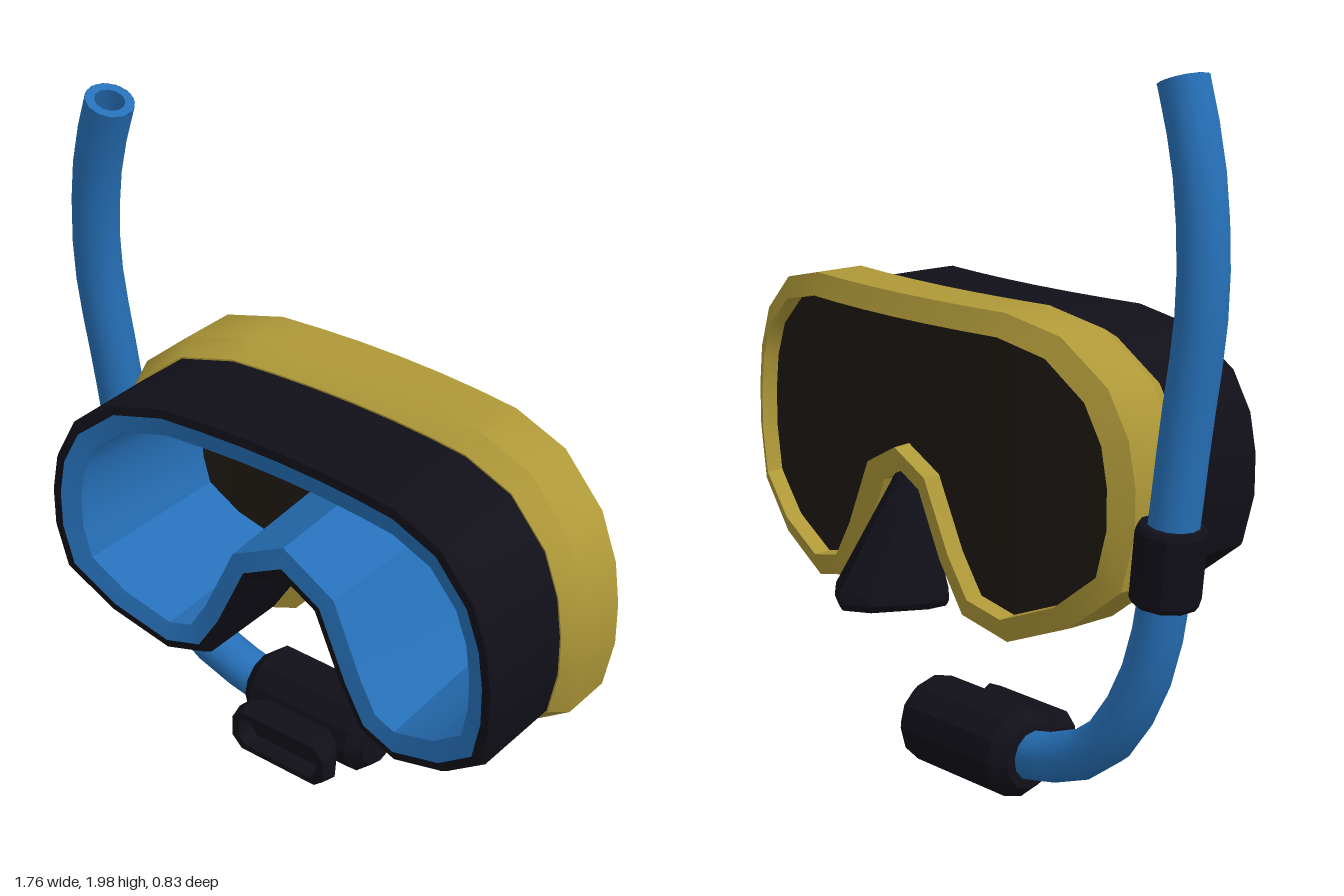
import * as THREE from 'three';
import { toCreasedNormals } from 'three/addons/utils/BufferGeometryUtils.js';

const mat = (color) => new THREE.MeshStandardMaterial({ color, side: THREE.DoubleSide });
const blue = mat(0x2670b8), black = mat(0x110f18), yellow = mat(0xae9838), tint = mat(0x1d1813);
const V = (x, y, z) => new THREE.Vector3(x, y, z);

function add(parent, name, geometry, material, crease = 0.5) {
  const mesh = new THREE.Mesh(toCreasedNormals(geometry, crease), material);
  mesh.name = name;
  parent.add(mesh);
  return mesh;
}

// Skin a series of equal-length closed rings, optionally capping the two ends
function loft(rings, caps = false) {
  const pos = [], tri = (...p) => p.forEach((v) => pos.push(v.x, v.y, v.z));
  const n = rings[0].length;
  for (let i = 0; i < rings.length - 1; i++) {
    for (let j = 0; j < n; j++) {
      const k = (j + 1) % n, a = rings[i], b = rings[i + 1];
      tri(a[j], a[k], b[k]);
      tri(a[j], b[k], b[j]);
    }
  }
  if (caps) {
    [rings[0], rings[rings.length - 1]].forEach((r, end) => {
      const c = r.reduce((s, p) => s.add(p), V(0, 0, 0)).divideScalar(n);
      r.forEach((p, j) => (end ? tri(c, p, r[(j + 1) % n]) : tri(c, r[(j + 1) % n], p)));
    });
  }
  const g = new THREE.BufferGeometry();
  g.setAttribute('position', new THREE.Float32BufferAttribute(pos, 3));
  return g;
}

// Half outline of the mask from top centre, round the lobe, to the nose notch
const CX = 0.095;
const HALF = [[0, 1.36], [0.13, 1.36], [0.26, 1.36], [0.39, 1.36], [0.565, 1.32], [0.705, 1.205],
  [0.765, 1.08], [0.785, 0.96], [0.785, 0.835], [0.75, 0.68], [0.6, 0.555], [0.4, 0.475],
  [0.24, 0.515], [0.155, 0.65], [0.072, 0.83], [0, 0.868]];
const OUTLINE = [...HALF.slice(1, -1).map(([x, y]) => [-x, y]), ...[...HALF].reverse()];
// OUTLINE: left half top to notch, then right half notch to top (counter-clockwise from the front)

const bend = (x) => 0.18 * x * x;

// Outline moved inwards by d, at depth z, bent around the face
function maskRing(d, z) {
  const n = OUTLINE.length;
  const normal = (a, b) => new THREE.Vector2(b[1] - a[1], a[0] - b[0]).normalize();
  return OUTLINE.map((p, i) => {
    const n1 = normal(OUTLINE[(i + n - 1) % n], p), n2 = normal(p, OUTLINE[(i + 1) % n]);
    const m = n1.clone().add(n2).divideScalar(1 + n1.dot(n2));
    const x = p[0] - m.x * d;
    return V(x, p[1] - m.y * d, z + bend(x));
  });
}
const maskLoft = (profile) => loft(profile.map(([d, z]) => maskRing(d, z)));

// Curved pane made of vertical columns between the upper and lower edge
function lensGeometry(d, z) {
  const ring = maskRing(d, z);
  const right = ring.slice(HALF.length - 2);
  const side = right.reduce((best, p, i) => (p.x > right[best].x ? i : best), 0);
  const lower = right.slice(0, side + 1);
  const upper = right.slice(side).reverse();
  const at = (chain, x) => {
    for (let i = 1; i < chain.length; i++) {
      const a = chain[i - 1], b = chain[i];
      if (x <= b.x + 1e-6) return a.y + (b.y - a.y) * Math.min(1, Math.max(0, (x - a.x) / (b.x - a.x || 1)));
    }
    return chain[chain.length - 1].y;
  };
  const xs = [...new Set(right.map((p) => Math.max(0, +p.x.toFixed(4))))].sort((a, b) => a - b);
  upper[0].x = 0;
  const cols = [...xs.slice(1).reverse().map((x) => -x), ...xs];
  const pos = [], index = [];
  cols.forEach((x, i) => {
    for (const chain of [upper, lower]) pos.push(x, at(chain, Math.abs(x)), z + bend(x));
    if (i) index.push(2 * i - 2, 2 * i, 2 * i - 1, 2 * i, 2 * i + 1, 2 * i - 1);
  });
  const g = new THREE.BufferGeometry();
  g.setAttribute('position', new THREE.Float32BufferAttribute(pos, 3));
  g.setIndex(index);
  return g;
}

function buildMask() {
  const mask = new THREE.Group();
  mask.name = 'mask';
  mask.position.x = CX;
  add(mask, 'frame', maskLoft([[0.065, -0.165], [0.062, -0.222], [0, -0.2], [0, -0.045], [0.035, 0.02], [0.055, 0.02]]), yellow);
  add(mask, 'skirt', maskLoft([[0.04, -0.1], [0.04, 0.295], [0.05, 0.315], [0.075, 0.32]]), black);
  add(mask, 'innerSeal', maskLoft([[0.075, 0.32], [0.13, 0.31], [0.155, -0.165]]), blue);
  add(mask, 'lens', lensGeometry(0.06, -0.17), tint, 1);

  // Nose pocket tapering up into the notch
  const half = [[0.165, -0.17], [0.158, -0.23], [0.075, -0.375]];
  const base = [...half, [0, -0.42], ...[...half].reverse().map(([x, z]) => [-x, z])];
  const noseRing = (y, sx, sz) => base.map(([x, z]) => V(x * sx, y, -0.17 + (z + 0.17) * sz));
  add(mask, 'nosePocket', loft([noseRing(0.515, 0.92, 0.95), noseRing(0.535, 1, 1), noseRing(0.57, 0.98, 0.98),
    noseRing(0.86, 0.3, 0.14), noseRing(0.89, 0.1, 0.06)], true), black);
  return mask;
}

function buildSnorkel() {
  const snorkel = new THREE.Group();
  snorkel.name = 'snorkel';

  // Hollow tube leaning slightly forward towards its top
  const path = [[-0.70, 1.97], [-0.765, 1.79], [-0.805, 1.58], [-0.815, 1.4], [-0.79, 1.1], [-0.768, 0.8],
    [-0.735, 0.535], [-0.68, 0.385], [-0.585, 0.25], [-0.46, 0.175], [-0.28, 0.13]]
    .map(([x, y]) => V(x, y, 0.045 - 0.073 * (1.97 - y)));
  const curve = new THREE.CatmullRomCurve3(path);
  add(snorkel, 'tube', new THREE.TubeGeometry(curve, 18, 0.068, 12), blue, 0.6);
  add(snorkel, 'tubeBore', new THREE.TubeGeometry(curve, 18, 0.042, 12), blue, 0.6);
  const rim = add(snorkel, 'tubeRim', new THREE.RingGeometry(0.042, 0.068, 12), blue);
  rim.position.copy(path[0]);
  rim.lookAt(path[0].clone().sub(curve.getTangentAt(0)));

  // Clip holding the tube against the frame
  const clip = add(snorkel, 'clip', new THREE.LatheGeometry([[0.06, -0.105], [0.085, -0.105], [0.094, -0.09],
    [0.094, 0.09], [0.085, 0.105], [0.06, 0.105]].map(([x, y]) => new THREE.Vector2(x, y)), 10), black);
  clip.position.set(-0.765, 0.77, -0.043);
  clip.rotation.z = 0.1;

  // Mouthpiece barrel
  const barrel = add(snorkel, 'mouthpieceBarrel', new THREE.LatheGeometry([[0, -0.22], [0.09, -0.22], [0.125, -0.18],
    [0.125, 0.18], [0.09, 0.22], [0, 0.22]].map(([x, y]) => new THREE.Vector2(x, y)), 12), black);
  barrel.position.set(-0.1, 0.136, -0.095);
  barrel.rotation.z = -Math.PI / 2;

  // Flared bite flange with a recessed face
  const flangeRing = ([z, w, h]) => {
    const c = h * 0.5;
    return [[w, -h + c], [w, h - c], [w - c, h], [-w + c, h], [-w, h - c], [-w, -h + c], [-w + c, -h], [w - c, -h]]
      .map(([x, y]) => V(x, y, z));
  };
  const flange = add(snorkel, 'biteFlange', loft([[-0.05, 0.14, 0.06], [0.025, 0.145, 0.062], [0.075, 0.178, 0.087],
    [0.12, 0.17, 0.067], [0.12, 0.145, 0.048], [0.07, 0.138, 0.042]].map(flangeRing), true), black);
  flange.position.set(-0.095, 0.12, 0);
  return snorkel;
}

export function createModel() {
  const model = new THREE.Group();
  model.name = 'divingMaskAndSnorkel';
  model.add(buildMask(), buildSnorkel());
  return model;
}
